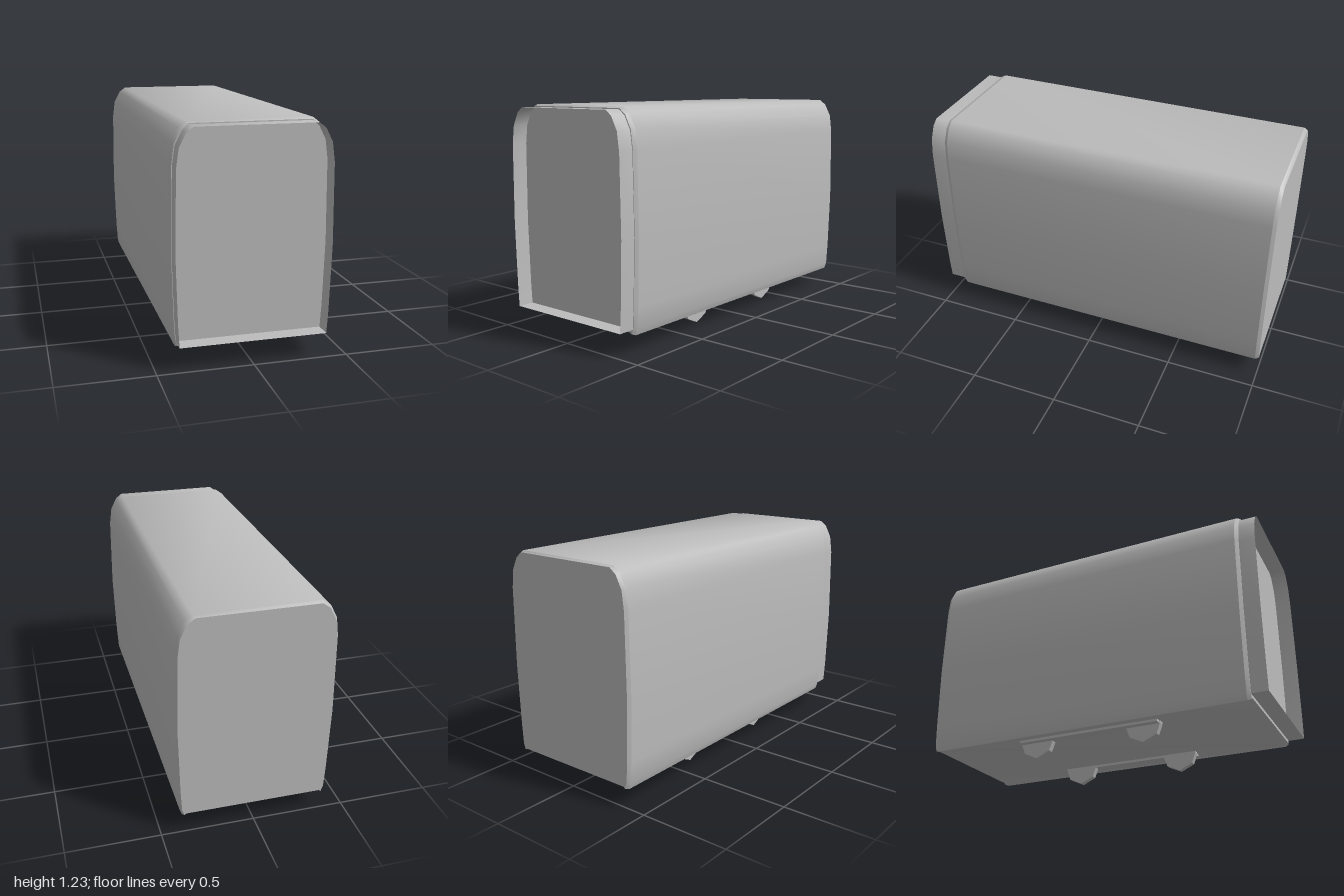
import * as THREE from 'three';
import { toCreasedNormals } from 'three/addons/utils/BufferGeometryUtils.js';

// Mirrors a right-hand half profile (bottom to top) into a closed outline
const mirrorOutline = (half) => [...half, ...half.map(([x, y]) => [-x, y]).reverse()];

const shellOutline = mirrorOutline([
  [0.375, 0.105], [0.386, 0.097], [0.398, 0.13], [0.405, 0.25], [0.415, 0.6],
  [0.409, 1.03], [0.396, 1.13], [0.36, 1.2], [0.32, 1.23],
]);
const collarOutline = mirrorOutline([
  [0.385, 0.13], [0.392, 0.25], [0.402, 0.6], [0.396, 1.02],
  [0.382, 1.12], [0.346, 1.19], [0.31, 1.217],
]);

// Shrinks an outline about the middle of the body
const inset = (outline) => outline.map(([x, y]) => [x * 0.975, 0.66 + (y - 0.66) * 0.987]);

// Joins outline a at za to outline b at zb (za < zb) with a skin facing outwards
function loft(a, za, b, zb) {
  const pos = [];
  a.forEach((p, i) => {
    const j = (i + 1) % a.length;
    const p0 = [...p, za], p1 = [...a[j], za], q0 = [...b[i], zb], q1 = [...b[j], zb];
    pos.push(...p0, ...p1, ...q1, ...p0, ...q1, ...q0);
  });
  const geo = new THREE.BufferGeometry();
  geo.setAttribute('position', new THREE.Float32BufferAttribute(pos, 3));
  return toCreasedNormals(geo, 0.72);
}

export function createModel() {
  const grey = new THREE.MeshStandardMaterial({ color: 0xbcbcbc });
  grey.name = 'plain grey';
  const greyThin = new THREE.MeshStandardMaterial({ color: 0xbcbcbc, side: THREE.DoubleSide });
  greyThin.name = 'plain grey two sided';

  const model = new THREE.Group();
  model.name = 'cabin';
  const add = (name, geo, mat = grey) => {
    const mesh = new THREE.Mesh(geo, mat);
    mesh.name = name;
    model.add(mesh);
    return mesh;
  };

  // Long shell with a small bevel at each end
  const small = inset(shellOutline);
  add('bodyShell', loft(shellOutline, -0.98, shellOutline, 0.89));
  add('rearBevel', loft(small, -1, shellOutline, -0.98));
  add('frontBevel', loft(shellOutline, 0.89, small, 0.91));

  // Flat end panels
  const panel = new THREE.ShapeGeometry(new THREE.Shape(small.map(([x, y]) => new THREE.Vector2(x, y))));
  add('frontPanel', panel).position.z = 0.91;
  add('rearPanel', panel.clone().rotateY(Math.PI)).position.z = -1;

  // Thin open collar around the front panel
  add('frontCollar', loft(collarOutline, 0.9, collarOutline, 1), greyThin);

  // Underside rails, each carrying two feet
  const foot = new THREE.Shape([[-0.1, 0.11], [-0.1, 0.095], [-0.078, 0.036], [0, 0.0], [0.078, 0.036], [0.1, 0.095], [0.1, 0.11]]
    .map(([z, y]) => new THREE.Vector2(z, y)));
  const footGeo = new THREE.ExtrudeGeometry(foot, { depth: 0.035, bevelEnabled: false });
  footGeo.translate(0, 0, -0.0175).rotateY(Math.PI / 2);
  for (const side of [1, -1]) {
    const name = side > 0 ? 'left' : 'right';
    add(name + 'Rail', new THREE.BoxGeometry(0.068, 0.018, 0.84)).position.set(side * 0.291, 0.1, -0.04);
    for (const z of [0.285, -0.365]) {
      add(name + (z > 0 ? 'FrontFoot' : 'RearFoot'), footGeo).position.set(side * 0.273, 0, z);
    }
  }
  return model;
}
